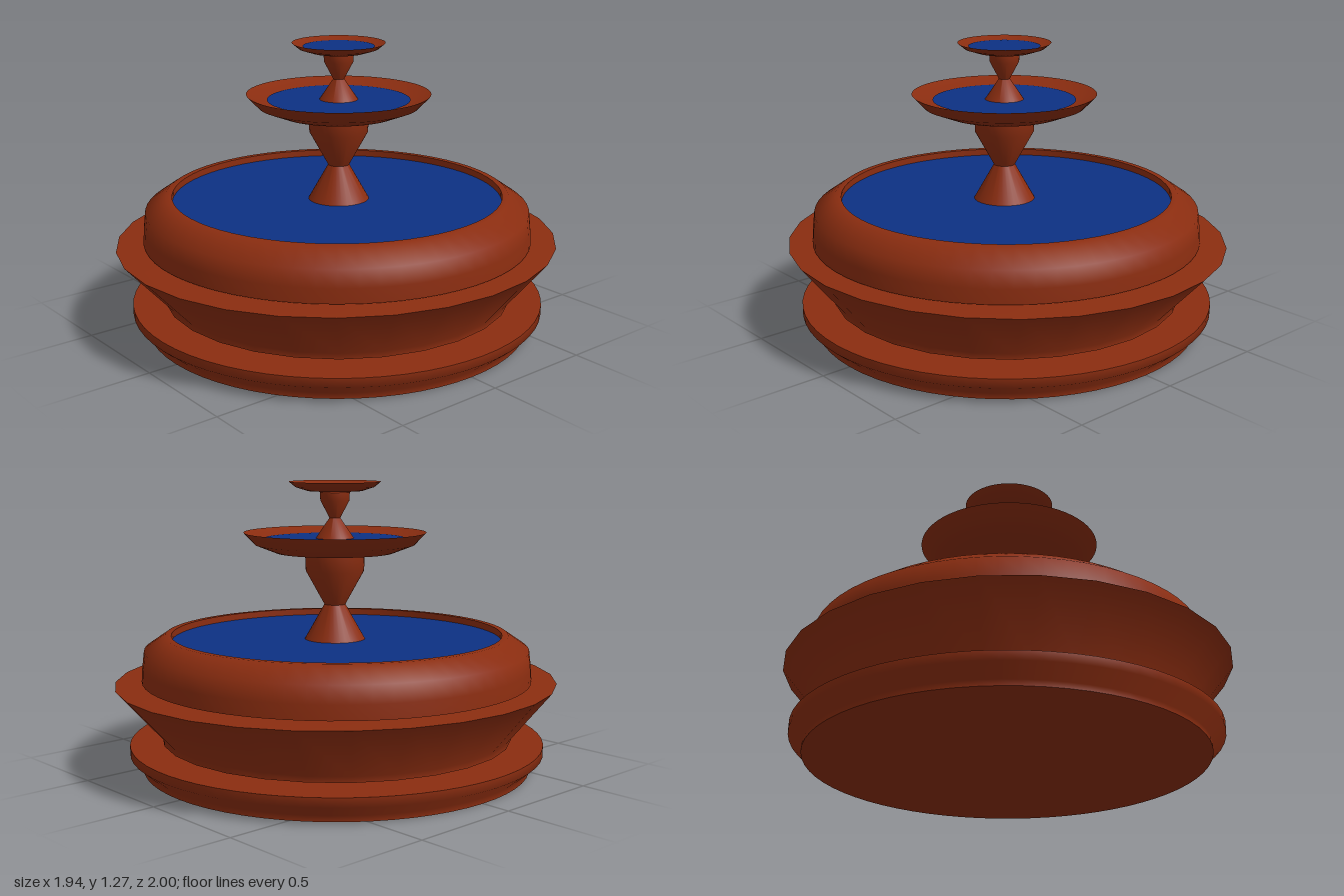
import * as THREE from 'three';
import { toCreasedNormals } from 'three/addons/utils/BufferGeometryUtils.js';

const clay = new THREE.MeshStandardMaterial({ color: 0x8b2d10 });
const water = new THREE.MeshStandardMaterial({ color: 0x0d3184 });

// Closed turned solid from [radius, height] pairs, listed bottom to top.
function turned(name, profile, segments = 64) {
  const points = profile.map(([r, y]) => new THREE.Vector2(r, y));
  const mesh = new THREE.Mesh(new THREE.LatheGeometry(points, segments), clay);
  mesh.geometry = toCreasedNormals(mesh.geometry, 0.9);
  mesh.name = name;
  return mesh;
}

// Flat round water surface.
function pool(name, radius, y) {
  const mesh = new THREE.Mesh(new THREE.CircleGeometry(radius, 64), water);
  mesh.rotation.x = -Math.PI / 2;
  mesh.position.y = y;
  mesh.name = name;
  return mesh;
}

// Waisted pedestal.
function pedestal(name, foot, neck, head, [y0, y1, y2, y3]) {
  return turned(name, [[0, y0], [foot, y0], [neck, y1], [head * 0.98, y2], [head, y3], [0, y3]], 32);
}

// Shallow tray with a sloping inside, filled with water.
function tray(name, [r0, r1, r2], [y0, y1, y2], poolRadius, poolY) {
  const group = new THREE.Group();
  group.name = name;
  const floor = poolY - 0.004;
  group.add(turned(name + 'Dish', [[0, y0], [r0, y0], [r1, y1], [r2, y2], [poolRadius, floor], [0, floor]]));
  group.add(pool(name + 'Water', poolRadius, poolY));
  return group;
}

export function createModel() {
  const model = new THREE.Group();
  model.name = 'fountain';

  // Plinth
  model.add(turned('plinth', [[0, 0], [0.87, 0], [0.87, 0.025], [0.928, 0.075], [0.928, 0.115], [0, 0.115]]));

  // Flared bowl, its rim slightly longer from front to back
  const bowl = turned('flaredBowl',
    [[0, 0.13], [0.786, 0.13], [0.786, 0.155], [0.985, 0.387], [0.945, 0.39], [0, 0.39]], 28);
  const p = bowl.geometry.attributes.position;
  for (let i = 0; i < p.count; i++) {
    if (Math.hypot(p.getX(i), p.getZ(i)) > 0.96) {
      p.setX(i, p.getX(i) * 0.985);
      p.setZ(i, p.getZ(i) * 1.013);
    }
  }
  model.add(bowl);

  // Main basin with a rounded shoulder and a sunken pool
  model.add(turned('mainBasin', [[0, 0.398], [0.87, 0.398], [0.866, 0.46], [0.857, 0.535], [0.765, 0.598],
    [0.737, 0.598], [0.737, 0.562], [0, 0.562]]));
  model.add(pool('mainWater', 0.737, 0.568));

  // Upper tiers, standing a little off centre
  const tiers = new THREE.Group();
  tiers.name = 'upperTiers';
  tiers.position.x = 0.011;
  tiers.add(pedestal('lowerPedestal', 0.135, 0.047, 0.133, [0.568, 0.724, 0.875, 0.945]));
  tiers.add(tray('middleTray', [0.263, 0.355, 0.406], [0.957, 0.993, 1.047], 0.315, 1.02));
  tiers.add(pedestal('upperPedestal', 0.085, 0.024, 0.066, [1.02, 1.11, 1.187, 1.223]));
  tiers.add(tray('topTray', [0.122, 0.175, 0.204], [1.229, 1.246, 1.27], 0.157, 1.255));
  model.add(tiers);

  return model;
}
